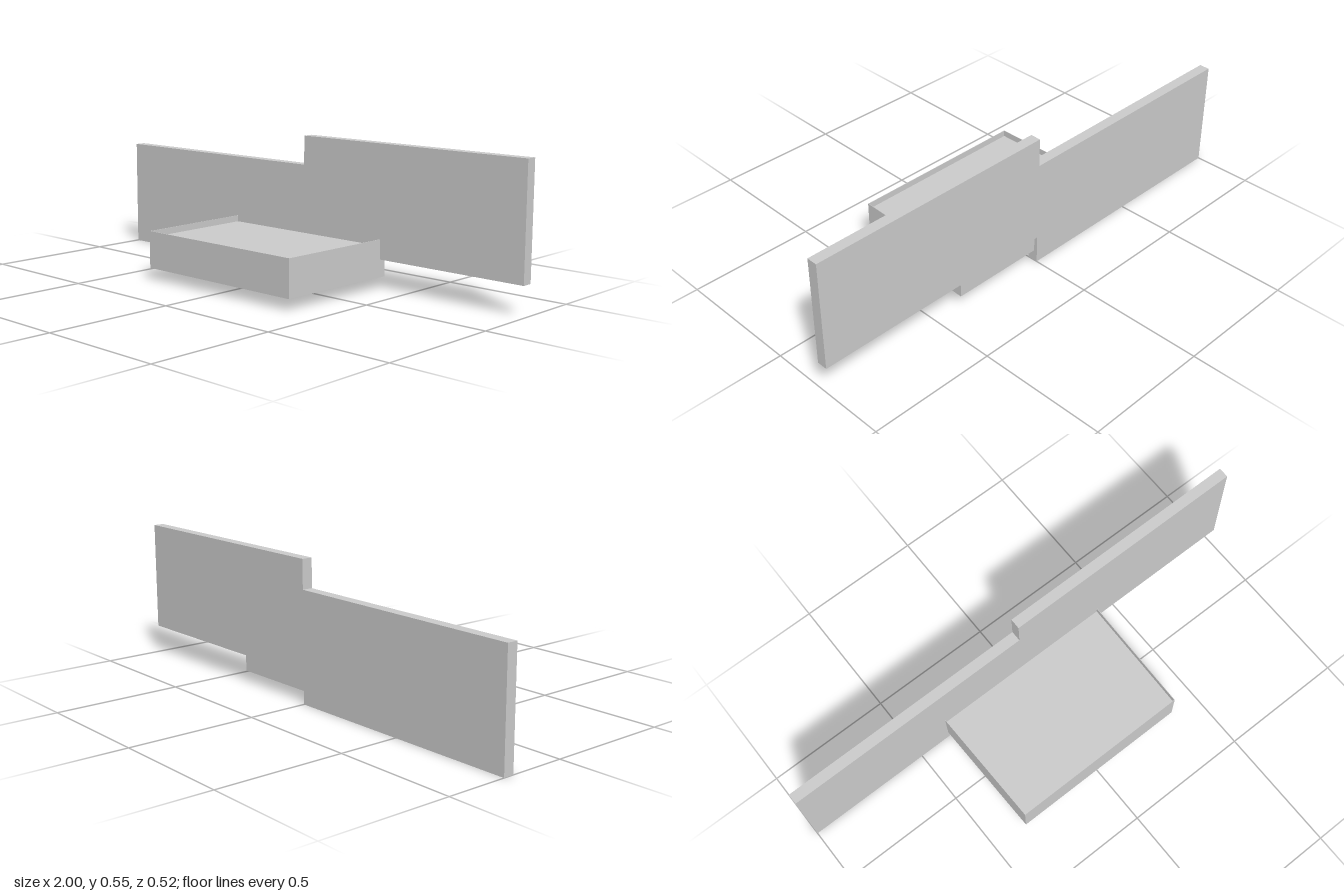
import * as THREE from 'three';

const material = new THREE.MeshStandardMaterial({ color: 0xcccccc, flatShading: true });

function extruded(name, shape, depth) {
  const geometry = new THREE.ExtrudeGeometry(shape, { depth, bevelEnabled: false });
  const mesh = new THREE.Mesh(geometry, material);
  mesh.name = name;
  return mesh;
}

// Tapered tray outline, slightly wider at the back; shape y becomes -z
function trayOutline(inset) {
  const back = 0.248 - inset, front = -0.262 + inset;
  return [
    [-0.358 + inset, front], [0.371 - inset, front],
    [0.381 - inset, back], [-0.368 + inset, back],
  ].map(([x, y]) => new THREE.Vector2(x, y));
}

export function createModel() {
  const group = new THREE.Group();
  group.name = 'wallShelf';

  // Stepped back panel: the left half sits higher than the right half
  const panelOutline = [
    [-1, 0], [0, 0], [0, 0.113], [1, 0.113],
    [1, 0.545], [0, 0.545], [0, 0.432], [-1, 0.432],
  ].map(([x, y]) => new THREE.Vector2(x, y));
  const panel = extruded('backPanel', new THREE.Shape(panelOutline), 0.042);
  panel.position.z = -0.262;
  group.add(panel);

  // Tray body up to the recessed floor, then a very thin raised lip
  const bottom = 0.045, floor = 0.164, top = 0.189;
  const body = extruded('trayBody', new THREE.Shape(trayOutline(0)), floor - bottom);
  body.rotation.x = -Math.PI / 2;
  body.position.y = bottom;

  const lipShape = new THREE.Shape(trayOutline(0));
  lipShape.holes.push(new THREE.Path(trayOutline(0.002)));
  const lip = extruded('trayLip', lipShape, top - floor);
  lip.rotation.x = -Math.PI / 2;
  lip.position.y = floor;

  group.add(body, lip);
  return group;
}
